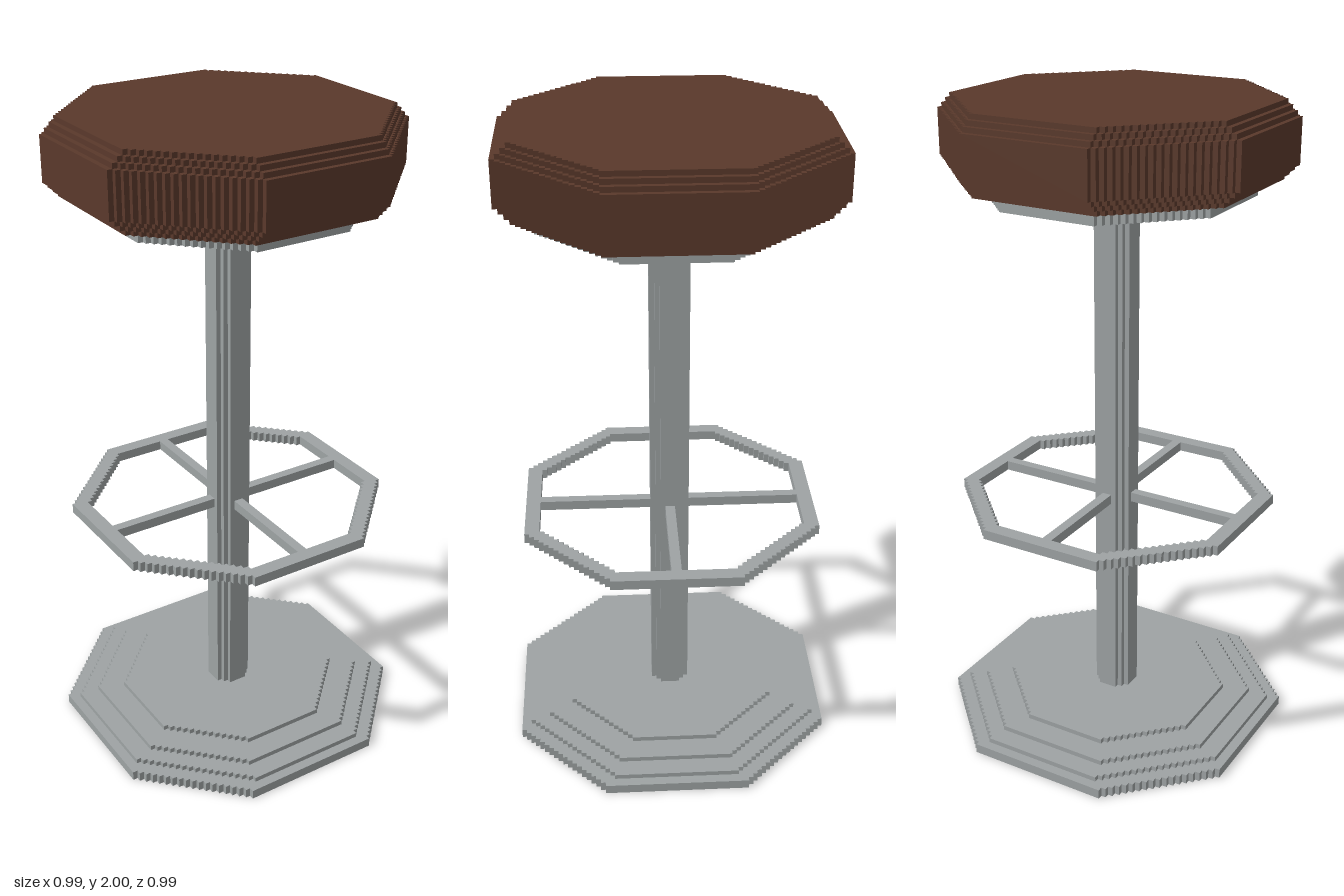
import * as THREE from 'three';

const U = 2 / 133; // size of one block

// Outline of a stepped octagon: half width h, half length a of the straight sides, in blocks
function octagonPoints(h, a) {
  const corner = [];
  const n = h - a;
  for (let i = 0; i <= n; i++) {
    corner.push([h - i, a + i]);
    if (i < n) corner.push([h - i - 1, a + i]);
  }
  const points = [];
  for (let q = 0; q < 4; q++) {
    for (const [x, y] of corner) {
      const [px, py] = [[x, y], [-y, x], [-x, -y], [y, -x]][q];
      points.push(new THREE.Vector2(px * U, py * U));
    }
  }
  return points;
}

// Upright slab with a stepped octagon outline, from layer y0 to y1, with an optional opening
function slab(name, material, h, a, y0, y1, hole) {
  const shape = new THREE.Shape(octagonPoints(h, a));
  if (hole) shape.holes.push(new THREE.Path(octagonPoints(hole[0], hole[1])));
  const geometry = new THREE.ExtrudeGeometry(shape, { depth: (y1 - y0) * U, bevelEnabled: false });
  geometry.rotateX(-Math.PI / 2);
  const mesh = new THREE.Mesh(geometry, material);
  mesh.position.y = y0 * U;
  mesh.name = name;
  return mesh;
}

function part(name, ...children) {
  const group = new THREE.Group();
  group.name = name;
  group.add(...children);
  return group;
}

export function createModel() {
  const metal = new THREE.MeshStandardMaterial({ color: 0x9ea3a4 });
  metal.name = 'brushed metal';
  const leather = new THREE.MeshStandardMaterial({ color: 0x5a392b });
  leather.name = 'brown leather';

  // Stepped foot plate: half width, half side, bottom layer, top layer
  const base = part('base', ...[
    [33, 15, 0, 2],
    [31, 13, 2, 3],
    [27, 12, 3, 4],
    [22, 9, 4, 5],
  ].map((s, i) => slab('baseStep' + (i + 1), metal, ...s)));

  // Central column and the plate carrying the cushion
  const pole = slab('pole', metal, 4, 2, 5, 115);
  const seatPlate = slab('seatPlate', metal, 25, 10, 115, 118);

  // Foot ring with four spokes
  const footRest = part('footRest', slab('footRing', metal, 30, 13, 50, 52, [27, 12]));
  for (let i = 0; i < 4; i++) {
    const spoke = new THREE.Mesh(new THREE.BoxGeometry(23 * U, 2 * U, 2 * U), metal);
    spoke.name = 'spoke';
    const angle = i * Math.PI / 2;
    spoke.position.set(Math.cos(angle) * 15.5 * U, 51 * U, -Math.sin(angle) * 15.5 * U);
    spoke.rotation.y = angle;
    footRest.add(spoke);
  }

  // Cushion with stepped edges above and below
  const seat = part('seat', ...[
    [29, 13, 118, 119],
    [30, 13, 119, 120],
    [31, 13, 120, 121],
    [32, 13, 121, 130],
    [31, 13, 130, 131],
    [30, 13, 131, 132],
    [29, 13, 132, 133],
  ].map((s, i) => slab('cushionLayer' + (i + 1), leather, ...s)));

  return part('barStool', base, pole, footRest, seatPlate, seat);
}
